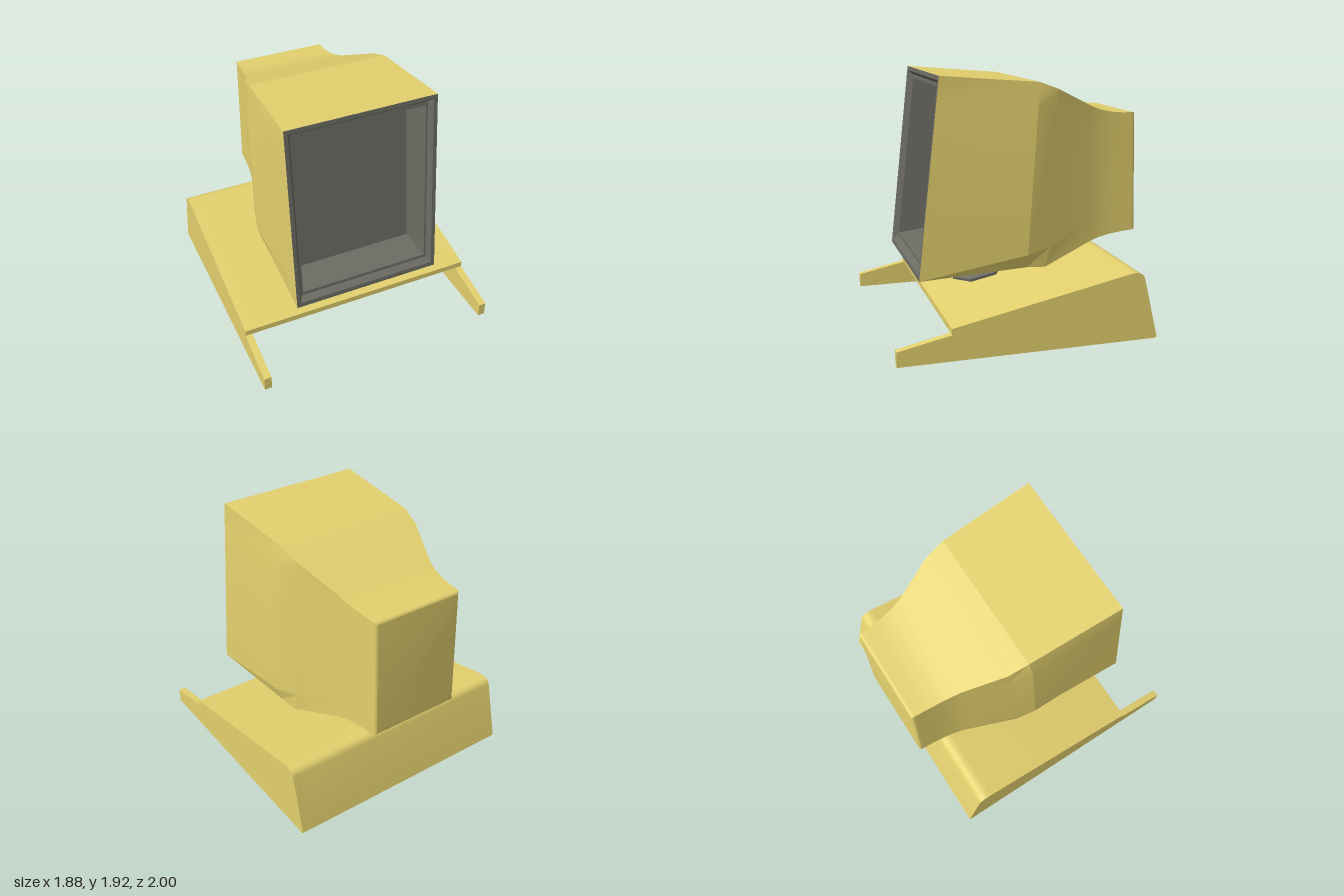
import * as THREE from 'three';
import { toCreasedNormals } from 'three/addons/utils/BufferGeometryUtils.js';

// Skin a list of equal-length point loops and cap the last one.
function loft(rings, faceOut, crease) {
  const n = rings[0].length, idx = [];
  const tri = (a, b, c) => (faceOut ? idx.push(a, c, b) : idx.push(a, b, c));
  for (let i = 0; i < rings.length - 1; i++) {
    for (let j = 0; j < n; j++) {
      const a = i * n + j, b = i * n + (j + 1) % n;
      tri(a, b, b + n);
      tri(a, b + n, a + n);
    }
  }
  const last = (rings.length - 1) * n;
  for (let j = 1; j < n - 1; j++) tri(last, last + j, last + j + 1);
  const g = new THREE.BufferGeometry();
  g.setAttribute('position', new THREE.Float32BufferAttribute(rings.flat(2), 3));
  g.setIndex(idx);
  return toCreasedNormals(g, crease);
}

// Extrude a side profile drawn in (z, y) to a width centred on x.
function sideExtrude(shape, width, x) {
  const g = new THREE.ExtrudeGeometry(shape, { depth: width, bevelEnabled: false, curveSegments: 8 });
  g.rotateY(-Math.PI / 2);
  g.translate(x + width / 2, 0, 0);
  return toCreasedNormals(g, 0.4);
}

export function createModel() {
  const model = new THREE.Group();
  const tan = new THREE.MeshStandardMaterial({ color: 0xe4d16e });
  tan.name = 'tan casing';
  const grey = new THREE.MeshStandardMaterial({ color: 0x6c6b63 });
  grey.name = 'warm grey';
  const add = (name, geometry, material, parent = model) => {
    const m = new THREE.Mesh(geometry, material);
    m.name = name;
    parent.add(m);
    return m;
  };

  // Slope, rounded ridge and back shared by the base parts
  const slopeAndBack = (shape) => {
    shape.lineTo(0.615, 0.235);
    shape.lineTo(-0.71, 0.507);
    shape.quadraticCurveTo(-0.8, 0.524, -0.819, 0.46);
    shape.lineTo(-0.928, 0.01);
  };

  // Sloped base: two side panels with front arms
  const panel = new THREE.Shape();
  panel.moveTo(1, 0);
  panel.lineTo(1, 0.11);
  panel.lineTo(0.615, 0.19);
  slopeAndBack(panel);
  panel.lineTo(-0.918, 0);
  for (const s of [-1, 1]) {
    add(s > 0 ? 'leftBasePanel' : 'rightBasePanel', sideExtrude(panel, 0.055, s * 0.9125), tan);
  }

  // Thin bent sheet with a front lip, open underneath
  const sheet = new THREE.Shape();
  sheet.moveTo(0.615, 0.19);
  slopeAndBack(sheet);
  sheet.lineTo(-0.914, 0.01);
  sheet.lineTo(-0.802, 0.47);
  sheet.lineTo(-0.785, 0.492);
  sheet.lineTo(-0.71, 0.492);
  sheet.lineTo(0.6, 0.223);
  sheet.lineTo(0.6, 0.19);
  add('baseTopAndBack', sideExtrude(sheet, 1.77, 0), tan);

  // Hexagonal foot, tilted with the base and passing through it
  const foot = new THREE.Group();
  foot.name = 'stand';
  foot.position.set(0, 0.324, 0.18);
  foot.rotation.x = Math.atan(0.205);
  model.add(foot);
  const hex = (rTop, rBottom, y0, y1) => {
    const g = new THREE.CylinderGeometry(rTop, rBottom, y1 - y0, 6);
    g.translate(0, (y0 + y1) / 2, 0);
    return toCreasedNormals(g, 0.3);
  };
  add('footPlate', hex(0.205, 0.205, -0.02, 0.022), grey, foot);
  add('footBevel', hex(0.165, 0.205, 0.022, 0.045), grey, foot);

  // Upright hexagonal stem
  add('stem', hex(0.112, 0.112, 0.32, 0.53), grey).position.z = 0.18;

  // Casing stations: top edge x,y,z | side x | upper side y,z | lower side y,z | bottom edge y,z
  const stations = [
    [0.575, 1.92, 0.6, 0.575, 1.72, 0.623, 0.6, 0.75, 0.47, 0.765],
    [0.545, 1.86, -0.14, 0.575, 1.7, -0.12, 0.6, -0.05, 0.5, -0.05],
    [0.525, 1.805, -0.29, 0.523, 1.6, -0.28, 0.64, -0.25, 0.485, -0.2],
    [0.41, 1.66, -0.6, 0.41, 1.48, -0.6, 0.8, -0.6, 0.62, -0.6],
    [0.392, 1.629, -0.68, 0.392, 1.45, -0.68, 0.82, -0.68, 0.642, -0.68],
    [0.379, 1.61, -0.77, 0.379, 1.44, -0.77, 0.83, -0.77, 0.658, -0.77],
    [0.37, 1.6, -0.87, 0.37, 1.44, -0.87, 0.83, -0.88, 0.67, -0.88],
  ];
  // Rounded rear rim
  for (let i = 0; i <= 8; i++) {
    const a = (i / 8) * Math.PI / 2, inset = 0.025 * (1 - Math.cos(a)), back = 0.025 * Math.sin(a);
    const x = 0.366 - inset;
    stations.push([x, 1.6 - inset, -0.947 - back, x, 1.44, -0.952 - back, 0.83, -0.97 - back,
      0.677 + inset, -0.975 - back]);
  }
  const casingRings = stations.map(([xt, yt, zt, xs, yu, zu, yl, zl, yb, zb]) => [
    [xt, yb, zb], [xs, yl, zl], [xs, yu, zu], [xt, yt, zt],
    [-xt, yt, zt], [-xs, yu, zu], [-xs, yl, zl], [-xt, yb, zb],
  ]);
  add('casing', loft(casingRings, true, 0.22), tan);

  // Stepped bezel and recessed screen: half width, bottom, top, depth behind the front plane
  const frontZ = (y) => 0.765 - (y - 0.47) * 0.1138;
  const frames = [
    [0.575, 0.47, 1.92, 0],
    [0.545, 0.505, 1.888, 0],
    [0.52, 0.535, 1.858, 0.04],
    [0.505, 0.56, 1.828, 0.04],
    [0.478, 0.595, 1.797, 0.27],
  ].map(([x, y0, y1, d]) => [[x, y0], [x, y1], [-x, y1], [-x, y0]].map(([px, y]) => [px, y, frontZ(y) - d]));
  add('bezelAndScreen', loft(frames, false, 0.1), grey);

  return model;
}
